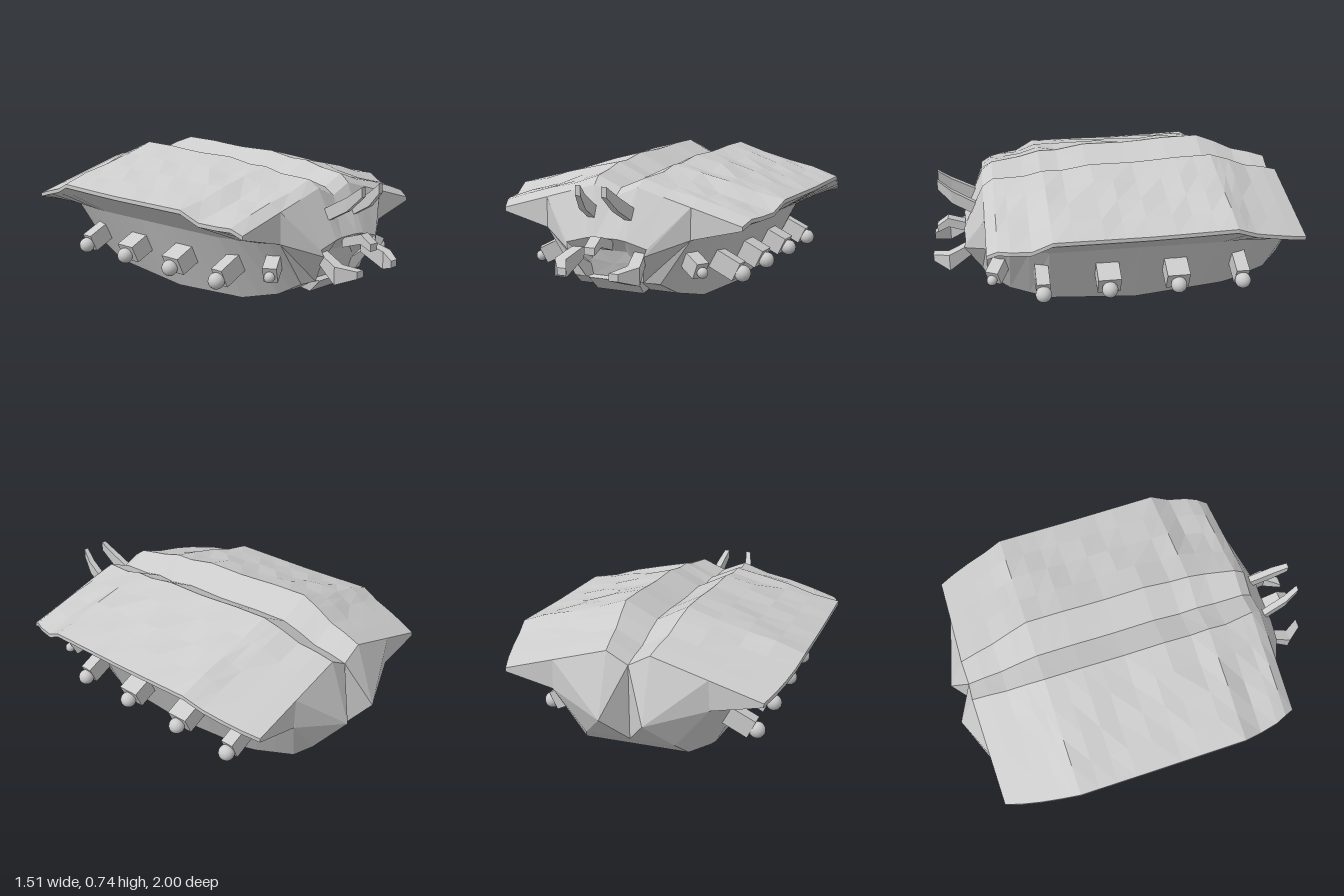
import * as THREE from 'three';
import { ConvexGeometry } from 'three/addons/geometries/ConvexGeometry.js';

const flat = new THREE.MeshStandardMaterial({ color: 0xcccccc, flatShading: true, side: THREE.DoubleSide });
const smooth = new THREE.MeshStandardMaterial({ color: 0xcccccc });

// piecewise linear lookup: keys are [z, value] with rising z
function at(keys, z) {
  for (let i = 1; i < keys.length; i++) {
    const [z0, v0] = keys[i - 1], [z1, v1] = keys[i];
    if (z <= z1 + 1e-6) return v0 + (v1 - v0) * (z - z0) / (z1 - z0);
  }
  return keys[keys.length - 1][1];
}

// profiles of the shell and hull along z
const ridgeY = [[-0.885, 0.61], [-0.8, 0.635], [-0.7, 0.655], [-0.6, 0.7], [-0.5, 0.735], [-0.3, 0.73],
  [-0.1, 0.715], [0.15, 0.715], [0.3, 0.69], [0.45, 0.69], [0.5, 0.665], [0.66, 0.65], [0.715, 0.61]];
const ridgeX = [[-0.885, 0.11], [-0.5, 0.165], [0.2, 0.165], [0.5, 0.155], [0.715, 0.12]];
const valleyDrop = [[-0.885, 0.06], [-0.5, 0.085], [0.3, 0.08], [0.715, 0.05]];
const rimX = [[-0.885, 0.655], [-0.76, 0.70], [-0.5, 0.755], [0.4, 0.755], [0.6, 0.71], [0.715, 0.66]];
const rimY = [[-0.885, 0.43], [-0.6, 0.50], [-0.5, 0.54], [-0.1, 0.53], [0.4, 0.53], [0.5, 0.48], [0.66, 0.47], [0.715, 0.44]];
const sideX = [[-0.885, 0.4], [-0.57, 0.5], [0.4, 0.5], [0.6, 0.45], [0.715, 0.4]];
const keelX = [[-0.885, 0.23], [-0.8, 0.27], [-0.57, 0.33], [0.4, 0.33], [0.6, 0.28], [0.715, 0.24]];
const keelY = [[-0.885, 0.17], [-0.8, 0.10], [-0.57, 0.05], [-0.07, 0], [0.4, 0.03], [0.6, 0.08], [0.715, 0.145]];
const stations = [-0.885, -0.8, -0.7, -0.6, -0.545, -0.5, -0.4, -0.3, -0.2, -0.07, 0.05, 0.15, 0.3, 0.4, 0.5, 0.6, 0.66, 0.715];

// half cross-section from the top valley, over the rim, down to the keel
function halfRing(z) {
  const rx = at(ridgeX, z), ry = at(ridgeY, z), ex = at(rimX, z), ey = at(rimY, z) + 0.02;
  const inner = Math.abs(z) < 0.7 ? 1 : 0;
  const slope = [0.26, 0.52, 0.76].map((t, k) =>
    [rx + (ex - rx) * t, ry + (ey - ry) * t + inner * 0.008 * Math.sin(z * 17 + k * 1.9), z]);
  return [[0, ry - at(valleyDrop, z), z], [rx, ry, z], ...slope, [ex, ey, z], [ex, ey - 0.02, z],
    [at(sideX, z), 0.375, z], [at(keelX, z), at(keelY, z), z], [0, at(keelY, z), z]];
}

function mesh(name, geometry, material = flat) {
  const m = new THREE.Mesh(geometry, material);
  m.name = name;
  return m;
}

// triangle collector that mirrors every face across x = 0
function mirrored(build) {
  const pos = [];
  const tri = (a, b, c) => {
    pos.push(...a, ...b, ...c);
    for (const p of [a, c, b]) pos.push(-p[0], p[1], p[2]);
  };
  const strip = (back, front) => {
    for (let j = 0; j < back.length - 1; j++) {
      tri(back[j], front[j], front[j + 1]);
      tri(back[j], front[j + 1], back[j + 1]);
    }
  };
  build(tri, strip);
  const g = new THREE.BufferGeometry();
  g.setAttribute('position', new THREE.Float32BufferAttribute(pos, 3));
  g.computeVertexNormals();
  return g;
}

// tapering limb: stops are [x, y, z, halfWidth, halfHeight]
function limb(name, stops, side = 1) {
  const group = new THREE.Group();
  group.name = name;
  const corners = ([x, y, z, w, h]) => [[-1, -1], [1, -1], [1, 1], [-1, 1]]
    .map(([a, b]) => new THREE.Vector3(side * x + a * w, y + b * h, z));
  for (let i = 1; i < stops.length; i++)
    group.add(mesh(name + 'Segment', new ConvexGeometry([...corners(stops[i - 1]), ...corners(stops[i])])));
  return group;
}

// side pod: a block pointing out and down with a ball on its end
function pod(side, x, y, z, size, length, ball, yaw) {
  const g = new THREE.Group();
  g.name = 'sidePod';
  const block = mesh('podBlock', new THREE.BoxGeometry(length, size[0], size[1]));
  const tip = mesh('podBall', new THREE.SphereGeometry(ball, 16, 12), smooth);
  tip.position.x = side * (length / 2 + ball * 0.55);
  g.add(block, tip);
  g.position.set(side * x, y, z);
  g.rotation.set(0, -side * yaw, -side * 0.45, 'YZX');
  return g;
}

export function createModel() {
  const model = new THREE.Group();
  model.name = 'armouredCrawler';
  const rings = stations.map(halfRing);
  const first = rings[0], last = rings[rings.length - 1];
  const pick = (ring) => [0, 1, 2, 3, 7, 8, 9].map((i) => ring[i]);

  // shell and hull
  model.add(mesh('shellAndHull', mirrored((tri, strip) => {
    for (let i = 1; i < rings.length; i++) strip(rings[i - 1], rings[i]);
    for (let j = 3; j < 6; j++) {
      tri(last[7], last[j + 1], last[j]);
      tri(first[7], first[j], first[j + 1]);
    }
  })));

  // twin-pointed tail
  model.add(mesh('tail', mirrored((tri) => {
    const apex = [0.11, 0.30, -1], notch = [0, 0.32, -0.885];
    const loop = [...pick(first), notch, first[0]];
    for (let j = 0; j < loop.length - 1; j++) tri(loop[j], loop[j + 1], apex);
  })));

  // head with a recessed mouth
  model.add(mesh('head', mirrored((tri, strip) => {
    const nose = [[0, 0.37, 0.82], [0.06, 0.37, 0.82], [0.11, 0.365, 0.825], [0.22, 0.335, 0.82],
      [0.21, 0.30, 0.83], [0.16, 0.15, 0.74], [0, 0.15, 0.735]];
    const mouth = [[0, 0.30, 0.76], [0.05, 0.30, 0.76], [0.08, 0.30, 0.76], [0.12, 0.25, 0.75],
      [0.13, 0.22, 0.74], [0.13, 0.16, 0.72], [0, 0.16, 0.72]];
    strip(pick(last), nose);
    strip(nose, mouth);
    for (let j = 0; j < 6; j++) tri(mouth[j + 1], mouth[j], [0, 0.23, 0.74]);
  })));

  // lower lip and central horn
  model.add(mesh('lowerLip', new ConvexGeometry([-1, 1].flatMap((s) => [
    new THREE.Vector3(s * 0.14, 0.15, 0.75), new THREE.Vector3(s * 0.14, 0.15, 0.62),
    new THREE.Vector3(s * 0.13, 0.08, 0.68), new THREE.Vector3(s * 0.13, 0.09, 0.62)]))));
  model.add(limb('centralHorn', [[0, 0.335, 0.80, 0.03, 0.025], [0, 0.37, 0.91, 0.03, 0.025], [0, 0.335, 0.97, 0.028, 0.018]]));

  for (const side of [1, -1]) {
    // feelers and mandibles
    model.add(limb('feeler', [[0.105, 0.48, 0.755, 0.018, 0.035], [0.09, 0.55, 0.88, 0.018, 0.035], [0.07, 0.615, 0.95, 0.014, 0.025]], side));
    model.add(limb('mandible', [[0.17, 0.285, 0.79, 0.03, 0.03], [0.20, 0.225, 0.91, 0.032, 0.045], [0.14, 0.23, 0.995, 0.025, 0.018]], side));
    // pods along the flank
    for (const [z, depth] of [[0.44, 0.07], [0.1, 0.12], [-0.26, 0.12], [-0.6, 0.07]])
      model.add(pod(side, 0.445, 0.227, z, [0.1, depth], 0.2, 0.042, 0));
    model.add(pod(side, 0.39, 0.255, 0.66, [0.085, 0.07], 0.13, 0.027, 0.5));
  }
  return model;
}
